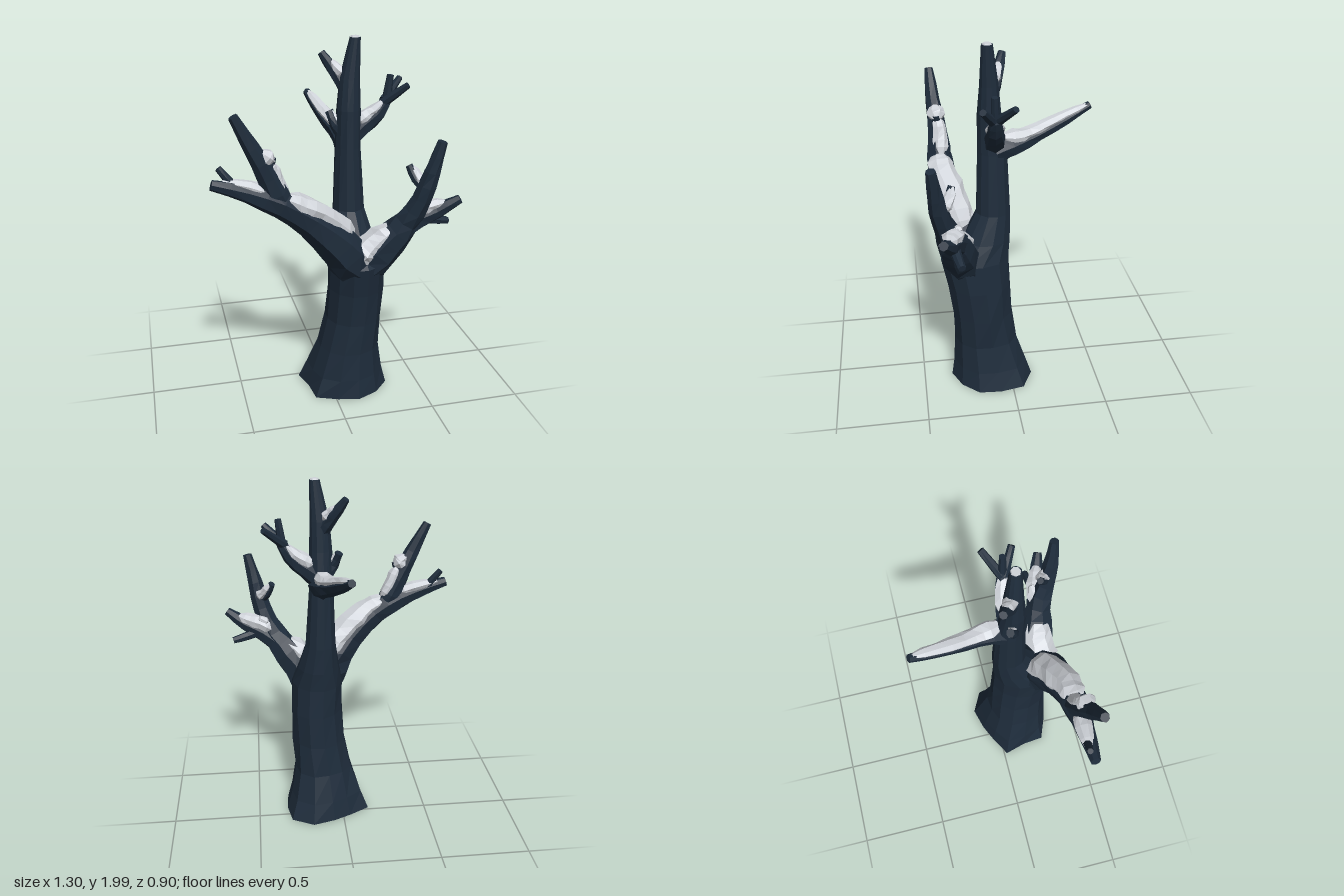
import * as THREE from 'three';

const bark = new THREE.MeshStandardMaterial({ color: 0x1e2c3b, flatShading: true, side: THREE.DoubleSide });
bark.name = 'dark bark';
const snow = new THREE.MeshStandardMaterial({ color: 0xd0d4da, flatShading: true });
snow.name = 'pale snow';

const Y = new THREE.Vector3(0, 1, 0);
const Z = new THREE.Vector3(0, 0, 1);

function seeded(seed) {
  return () => (seed = (seed * 16807) % 2147483647) / 2147483647;
}

// Faceted tapering limb. Each point is [x, y, z, radius across, radius up].
// With roots (one radius factor per side) it stands upright, flared and open below.
function limb(points, o = {}) {
  const { sides = 7, split = 2, ref = Y, jitter = 0.07, wide = 1, tall = 1, lift = 0, round = false, roots = null } = o;
  const rand = seeded(Math.round(Math.abs(points[0][0] * 7919 + points[0][1] * 104729)) + 11);
  const path = new THREE.CatmullRomCurve3(points.map(p => new THREE.Vector3(p[0], p[1], p[2])));
  const size = new THREE.CatmullRomCurve3(points.map(p => new THREE.Vector3(p[3], p[4] ?? p[3], 0)));
  const steps = (points.length - 1) * split;
  const pos = [], index = [];
  for (let i = 0; i <= steps; i++) {
    const u = i / steps;
    const c = path.getPoint(u), r = size.getPoint(u), t = roots ? Y : path.getTangent(u);
    const side = new THREE.Vector3().crossVectors(ref, t).normalize();
    const up = new THREE.Vector3().crossVectors(t, side);
    c.addScaledVector(up, lift * r.y);
    const end = round && (i === 0 || i === steps) ? 0.55 : 1;
    for (let j = 0; j < sides; j++) {
      const a = (j + 0.3) / sides * Math.PI * 2;
      const flare = roots ? 1 + (roots[j] - 1) * Math.max(0, 1 - i / 3) : 1;
      const k = end * flare * (1 + (rand() - 0.5) * 2 * jitter);
      const p = c.clone().addScaledVector(side, Math.cos(a) * r.x * wide * k)
        .addScaledVector(up, Math.sin(a) * r.y * tall * k);
      pos.push(p.x, p.y, p.z);
    }
    if (i === 0 || i === steps) pos.push(c.x, c.y, c.z);
  }
  // The first ring is followed by its cap centre
  const at = (i, j) => i * sides + (i > 0 ? 1 : 0) + (j % sides);
  for (let j = 0; j < sides; j++) {
    for (let i = 0; i < steps; i++) {
      index.push(at(i, j), at(i, j + 1), at(i + 1, j + 1), at(i, j), at(i + 1, j + 1), at(i + 1, j));
    }
    if (!roots) index.push(sides, at(0, j + 1), at(0, j));
    index.push(at(steps, j), at(steps, j + 1), pos.length / 3 - 1);
  }
  const g = new THREE.BufferGeometry();
  g.setAttribute('position', new THREE.Float32BufferAttribute(pos, 3));
  g.setIndex(index);
  const flat = g.toNonIndexed();
  flat.computeVertexNormals();
  return flat;
}

export function createModel() {
  const tree = new THREE.Group();
  tree.name = 'bareTree';
  const add = (name, geometry, material) => {
    const m = new THREE.Mesh(geometry, material);
    m.name = name;
    tree.add(m);
  };

  // Trunk with uneven spreading roots
  add('trunk', limb([
    [0.09, 0.01, 0.11, 0.235, 0.23], [0.095, 0.12, 0.12, 0.205, 0.208], [0.105, 0.28, 0.14, 0.168, 0.178],
    [0.13, 0.46, 0.155, 0.155, 0.17], [0.137, 0.65, 0.172, 0.15, 0.177], [0.13, 0.82, 0.193, 0.15, 0.192],
    [0.125, 0.93, 0.125, 0.118, 0.135], [0.115, 1.08, 0.085, 0.085, 0.093], [0.108, 1.42, 0.085, 0.067, 0.08],
    [0.108, 1.62, 0.1, 0.063, 0.063], [0.112, 1.78, 0.1, 0.054, 0.05], [0.135, 1.99, 0.11, 0.028, 0.03],
  ], {
    sides: 12, split: 1, ref: Z, jitter: 0.03,
    roots: [0.94, 1.06, 0.97, 1.02, 1, 1.04, 1.05, 1.2, 1.13, 0.9, 0.9, 1.1],
  }), bark);

  // Boughs and twigs
  const limbs = {
    rightBough: [[0.15, 0.7, 0.18, 0.1], [0.09, 0.83, 0.255, 0.125], [0, 0.96, 0.29, 0.115], [-0.15, 1.11, 0.325, 0.085],
      [-0.3, 1.215, 0.335, 0.072], [-0.46, 1.285, 0.335, 0.05], [-0.64, 1.34, 0.33, 0.027]],
    rightUpright: [[-0.28, 1.19, 0.335, 0.055], [-0.36, 1.36, 0.34, 0.055], [-0.44, 1.52, 0.355, 0.042], [-0.525, 1.68, 0.365, 0.024]],
    rightStub: [[-0.375, 1.35, 0.335, 0.036], [-0.345, 1.465, 0.345, 0.024]],
    rightTwig: [[-0.52, 1.31, 0.32, 0.026], [-0.6, 1.415, 0.305, 0.016]],
    leftBough: [[0.12, 0.71, 0.18, 0.1], [0.19, 0.83, 0.255, 0.112], [0.29, 0.95, 0.295, 0.09], [0.37, 1.06, 0.325, 0.07],
      [0.43, 1.2, 0.375, 0.052], [0.465, 1.35, 0.405, 0.042], [0.505, 1.51, 0.425, 0.026]],
    leftArm: [[0.33, 1.0, 0.3, 0.065], [0.43, 1.07, 0.325, 0.055], [0.53, 1.115, 0.35, 0.042], [0.635, 1.185, 0.385, 0.024]],
    leftLowTwig: [[0.45, 1.08, 0.33, 0.032], [0.52, 1.055, 0.315, 0.027], [0.605, 1.035, 0.3, 0.02]],
    leftHighTwig: [[0.45, 1.24, 0.39, 0.03], [0.4, 1.3, 0.345, 0.026], [0.37, 1.365, 0.32, 0.019]],
    backBough: [[0.11, 1.42, 0.07, 0.07], [0.105, 1.45, -0.02, 0.058], [0.07, 1.492, -0.16, 0.044],
      [0.035, 1.55, -0.31, 0.034], [0.005, 1.608, -0.445, 0.021]],
    upperBough: [[0.11, 1.46, 0.08, 0.058], [0.19, 1.525, 0.08, 0.052], [0.272, 1.59, 0.09, 0.041], [0.32, 1.67, 0.095, 0.027]],
    upperTwigMiddle: [[0.31, 1.64, 0.095, 0.026], [0.33, 1.79, 0.1, 0.018]],
    upperTwigBack: [[0.3, 1.655, 0.09, 0.026], [0.41, 1.755, 0.01, 0.018]],
    upperTwigFront: [[0.3, 1.65, 0.1, 0.026], [0.405, 1.745, 0.165, 0.018]],
    topTwig: [[0.1, 1.72, 0.09, 0.04], [0.045, 1.81, 0.05, 0.034], [-0.02, 1.905, 0.015, 0.02]],
    sideTwig: [[0.09, 1.46, 0.08, 0.035], [0.04, 1.54, 0.085, 0.028], [0.012, 1.61, 0.06, 0.022]],
  };
  for (const [name, pts] of Object.entries(limbs)) add(name, limb(pts), bark);

  // Snow lying along the upper sides
  const drifts = {
    rightBoughSnow: [[0.07, 0.91, 0.245, 0.07], [-0.01, 0.995, 0.275, 0.1], [-0.1, 1.08, 0.308, 0.098], [-0.18, 1.143, 0.33, 0.09],
      [-0.25, 1.19, 0.335, 0.078], [-0.31, 1.235, 0.337, 0.05]],
    rightTipSnow: [[-0.36, 1.255, 0.335, 0.055], [-0.46, 1.297, 0.325, 0.046], [-0.59, 1.335, 0.32, 0.03]],
    rightForkSnow: [[-0.425, 1.5, 0.35, 0.026], [-0.385, 1.45, 0.345, 0.058], [-0.345, 1.425, 0.34, 0.044]],
    rightUprightSnow: [[-0.285, 1.24, 0.33, 0.045], [-0.325, 1.32, 0.33, 0.048], [-0.35, 1.39, 0.335, 0.045], [-0.37, 1.44, 0.34, 0.03]],
    leftBoughSnow: [[0.11, 0.82, 0.29, 0.07], [0.17, 0.85, 0.285, 0.102], [0.23, 0.905, 0.287, 0.098], [0.29, 0.965, 0.295, 0.085], [0.34, 1.025, 0.3, 0.05]],
    leftArmSnow: [[0.38, 1.07, 0.31, 0.05], [0.45, 1.105, 0.325, 0.06], [0.51, 1.125, 0.34, 0.05], [0.57, 1.15, 0.36, 0.036]],
    leftInnerSnow: [[0.41, 1.12, 0.31, 0.035], [0.46, 1.155, 0.295, 0.036]],
    leftHighSnow: [[0.435, 1.25, 0.365, 0.036], [0.405, 1.3, 0.335, 0.036], [0.373, 1.36, 0.312, 0.022]],
    backBoughSnow: [[0.115, 1.47, 0.025, 0.062], [0.098, 1.472, -0.07, 0.054], [0.067, 1.502, -0.17, 0.045],
      [0.035, 1.555, -0.31, 0.036], [0.007, 1.605, -0.44, 0.023]],
    upperBoughSnow: [[0.15, 1.52, 0.08, 0.045], [0.21, 1.55, 0.08, 0.056], [0.265, 1.59, 0.088, 0.045], [0.32, 1.66, 0.095, 0.028]],
    topTwigSnow: [[0.085, 1.77, 0.075, 0.036], [0.045, 1.82, 0.052, 0.036], [0.02, 1.86, 0.035, 0.024]],
    sideTwigSnow: [[0.055, 1.535, 0.085, 0.03], [0.017, 1.605, 0.063, 0.022]],
  };
  for (const [name, pts] of Object.entries(drifts)) {
    add(name, limb(pts, { wide: 0.92, tall: 0.68, lift: 0.45, jitter: 0.12, round: true }), snow);
  }

  // Thin snow on the very top
  const cap = new THREE.CylinderGeometry(0.022, 0.026, 0.008, 7);
  cap.translate(0.135, 1.993, 0.11);
  add('topSnow', cap, snow);
  return tree;
}
